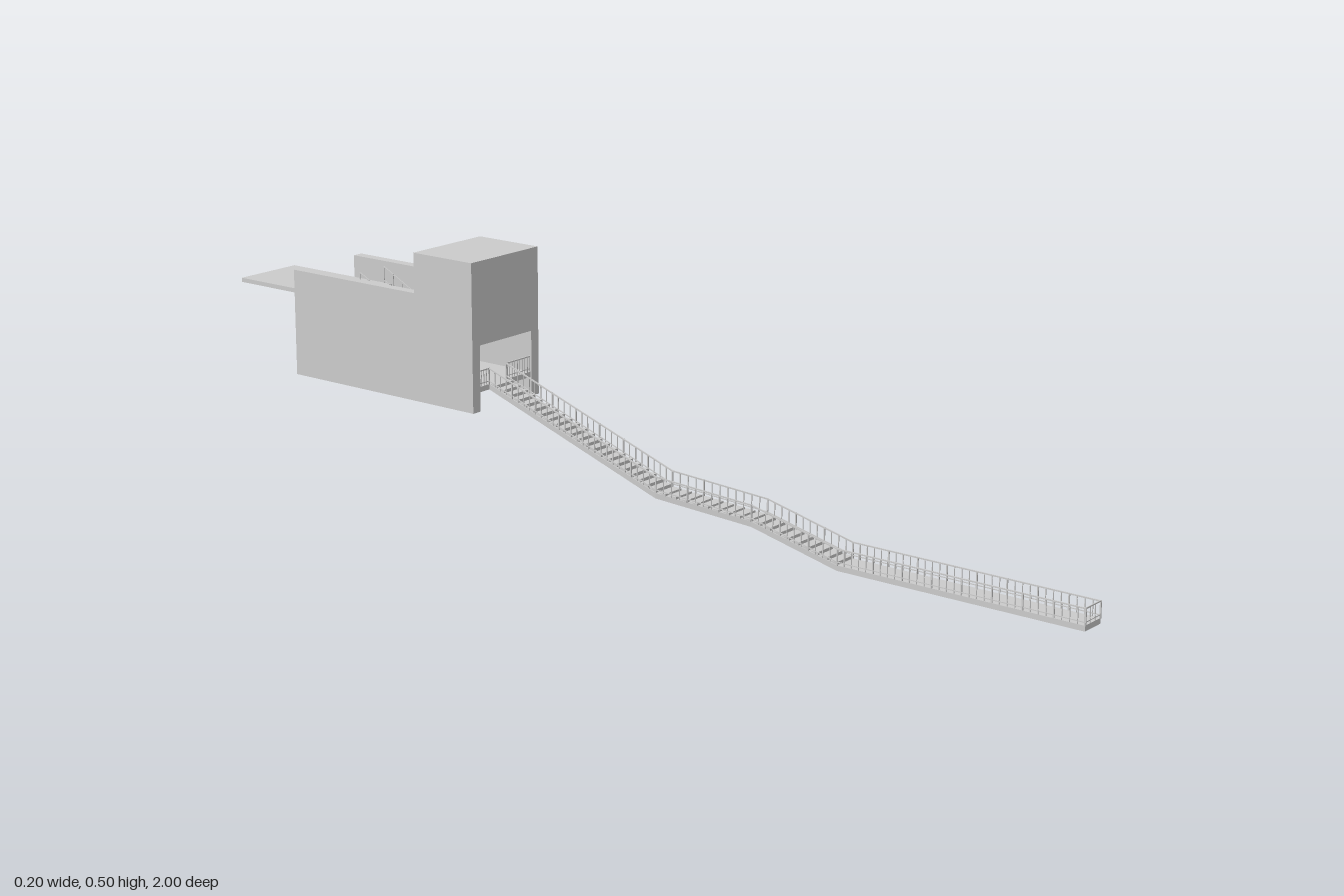
import * as THREE from 'three';
import { mergeGeometries } from 'three/addons/utils/BufferGeometryUtils.js';

const mat = new THREE.MeshStandardMaterial({ color: 0xcccccc, flatShading: true });
const V = (x, y, z) => new THREE.Vector3(x, y, z);

function add(parent, name, geos) {
  const mesh = new THREE.Mesh(mergeGeometries([].concat(geos)), mat);
  mesh.name = name;
  parent.add(mesh);
  return mesh;
}

// Box given by its limits on each axis
function block(x0, x1, y0, y1, z0, z1) {
  return new THREE.BoxGeometry(x1 - x0, y1 - y0, z1 - z0)
    .translate((x0 + x1) / 2, (y0 + y1) / 2, (z0 + z1) / 2);
}

// Square bar between two points
function bar(a, b, t) {
  const d = b.clone().sub(a);
  const up = Math.hypot(d.x, d.z) < 1e-6 ? V(0, 0, 1) : V(0, 1, 0);
  const m = new THREE.Matrix4().lookAt(a, b, up);
  m.setPosition(a.clone().add(b).multiplyScalar(0.5));
  return new THREE.BoxGeometry(t, t, d.length() + t).applyMatrix4(m);
}

// Top rail, bottom rail and evenly spaced balusters over a floor line a-b
function railing(a, b, h, gap = 0.016) {
  const lift = (p, y) => V(p.x, p.y + y, p.z);
  const out = [bar(lift(a, h), lift(b, h), 0.0025), bar(lift(a, 0.006), lift(b, 0.006), 0.0018)];
  const n = Math.max(1, Math.round(a.distanceTo(b) / gap));
  for (let i = 0; i <= n; i++) {
    const p = a.clone().lerp(b, i / n);
    out.push(bar(p, lift(p, h), i % 4 ? 0.0016 : 0.0026));
  }
  return out;
}

// Closed strip swept along stations, with a rectangular section
function deckGeometry(path, halfWidth, thick) {
  const pos = [];
  const quad = (a, b, c, d) => [a, b, c, a, c, d].forEach(p => pos.push(p.x, p.y, p.z));
  const rings = path.map(p => [[-1, 1], [1, 1], [1, 0], [-1, 0]]
    .map(([sx, sy]) => V(p.x + sx * halfWidth, p.y - (1 - sy) * thick, p.z)));
  for (let i = 0; i < rings.length - 1; i++) {
    for (let k = 0; k < 4; k++) {
      const m = (k + 1) % 4;
      quad(rings[i][k], rings[i][m], rings[i + 1][m], rings[i + 1][k]);
    }
  }
  const f = rings[0], e = rings[rings.length - 1];
  quad(f[3], f[2], f[1], f[0]);
  quad(e[0], e[1], e[2], e[3]);
  const g = new THREE.BufferGeometry();
  g.setAttribute('position', new THREE.Float32BufferAttribute(pos, 3));
  g.computeVertexNormals();
  return g;
}

export function createModel() {
  const root = new THREE.Group();
  root.name = 'coveredStairway';

  // Walkway: level run at the front, then three climbing flights
  const walkway = new THREE.Group();
  walkway.name = 'walkway';
  root.add(walkway);
  const half = 0.027, thick = 0.011;
  const path = [
    V(0.064, thick, 1), V(0.064, thick, 0.465), V(0.042, 0.066, 0.28),
    V(-0.025, 0.104, 0.1), V(-0.02, 0.248, -0.33),
  ];
  add(walkway, 'walkwayDeck', deckGeometry(path, half, thick));

  const steps = [];
  for (let i = 1; i < path.length - 1; i++) {
    const n = Math.round((path[i].z - path[i + 1].z) / 0.02);
    for (let k = 0; k < n; k++) {
      const a = path[i].clone().lerp(path[i + 1], k / n);
      const b = path[i].clone().lerp(path[i + 1], (k + 1) / n);
      const x = (a.x + b.x) / 2;
      steps.push(block(x - half + 0.002, x + half - 0.002, a.y - 0.001, b.y, b.z, a.z));
    }
  }
  add(walkway, 'walkwaySteps', steps);

  for (const s of [-1, 1]) {
    const side = path.map(p => V(p.x + s * (half - 0.001), p.y, p.z));
    const bars = [];
    for (let i = 0; i < side.length - 1; i++) bars.push(...railing(side[i], side[i + 1], 0.032));
    add(walkway, s > 0 ? 'leftWalkwayRailing' : 'rightWalkwayRailing', bars);
  }
  add(walkway, 'endRailing', railing(V(0.038, thick, 0.999), V(0.09, thick, 0.999), 0.032));

  // Building: two long side walls and the tall portal block
  const building = new THREE.Group();
  building.name = 'building';
  root.add(building);
  add(building, 'rightWall', block(-0.1, -0.078, 0.198, 0.422, -0.82, -0.325));
  add(building, 'leftWall', block(0.078, 0.1, 0.198, 0.422, -0.82, -0.325));
  add(building, 'portalBlock', block(-0.1, 0.1, 0.334, 0.505, -0.48, -0.325));

  // Landing under the portal, with railings beside the walkway entry
  add(building, 'landing', block(-0.078, 0.078, 0.237, 0.248, -0.49, -0.328));
  add(building, 'landingRailing', [
    ...railing(V(-0.077, 0.248, -0.33), V(-0.047, 0.248, -0.33), 0.032, 0.008),
    ...railing(V(0.008, 0.248, -0.33), V(0.077, 0.248, -0.33), 0.032, 0.008),
  ]);
  add(building, 'drainPipe', bar(V(0.028, 0.23, -0.4), V(0.028, 0.24, -0.4), 0.002));

  // Inner stair: treads and risers up to the rear platform
  const n = 13, z0 = -0.487, run = 0.0187, y0 = 0.248, rise = 0.127 / n;
  const stair = [];
  for (let i = 0; i < n; i++) {
    const y = y0 + (i + 1) * rise, z = z0 - i * run;
    stair.push(block(-0.078, 0.078, y - 0.003, y, z - run - 0.002, z));
    stair.push(block(-0.078, 0.078, y - rise - 0.003, y - 0.003, z - 0.002, z));
  }
  add(building, 'innerStair', stair);
  add(building, 'rearPlatform', block(-0.078, 0.078, 0.366, 0.375, -1, z0 - n * run + 0.002));

  // Handrails on both sides and along the middle of the inner stair
  const handrails = [];
  for (const x of [-0.075, 0.003, 0.075]) {
    handrails.push(...railing(V(x, y0 + rise, z0 - 0.008), V(x, 0.375, -0.73), 0.035, 0.03));
  }
  add(building, 'stairHandrails', handrails);

  // Gates across the foot of the stair
  add(building, 'stairGates', [
    ...railing(V(-0.076, 0.278, -0.535), V(-0.026, 0.278, -0.535), 0.05, 0.008),
    ...railing(V(0.006, 0.278, -0.535), V(0.076, 0.278, -0.535), 0.05, 0.008),
  ]);
  return root;
}
